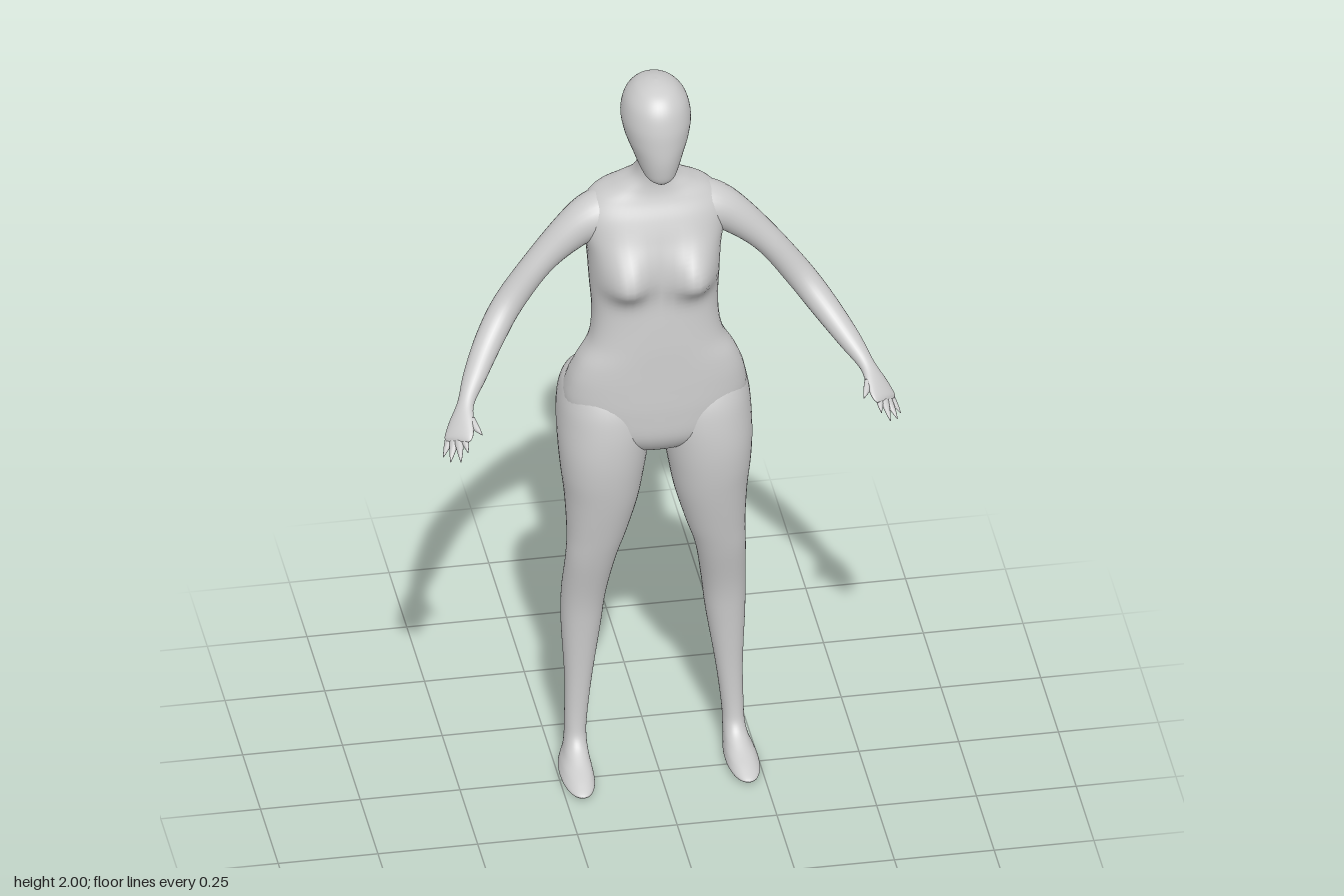
import * as THREE from 'three';

const SEG = 48;
const material = new THREE.MeshStandardMaterial({ color: 0xcccccc });

// Smoothly subdivide a table of sections with a Catmull-Rom rule
function refine(rows, steps) {
  const out = [];
  const last = rows.length - 1;
  for (let i = 0; i < last; i++) {
    const p0 = rows[Math.max(i - 1, 0)], p1 = rows[i], p2 = rows[i + 1], p3 = rows[Math.min(i + 2, last)];
    for (let k = 0; k < steps; k++) {
      const t = k / steps;
      out.push(p1.map((b, c) => {
        const a = p0[c], d = p2[c], e = p3[c];
        return b + 0.5 * t * (d - a + t * (2 * a - 5 * b + 4 * d - e + t * (3 * (b - d) + e - a)));
      }));
    }
  }
  out.push(rows[last]);
  return out;
}

// Skin closed rings of points, capping both ends; side = -1 mirrors in x
function skin(rings, side = 1) {
  const pos = [], index = [];
  const n = rings[0].length;
  const tri = (a, b, c) => (side > 0 ? index.push(a, b, c) : index.push(a, c, b));
  rings.forEach(ring => ring.forEach(p => pos.push(p.x * side, p.y, p.z)));
  for (let i = 0; i < rings.length - 1; i++) {
    for (let j = 0; j < n; j++) {
      const a = i * n + j, b = i * n + (j + 1) % n;
      tri(a, b, b + n);
      tri(a, b + n, a + n);
    }
  }
  [0, rings.length - 1].forEach(r => {
    const c = new THREE.Vector3();
    rings[r].forEach(p => c.addScaledVector(p, 1 / n));
    pos.push(c.x * side, c.y, c.z);
    const centre = pos.length / 3 - 1;
    for (let j = 0; j < n; j++) {
      const a = r * n + j, b = r * n + (j + 1) % n;
      if (r === 0) tri(centre, b, a); else tri(centre, a, b);
    }
  });
  const geo = new THREE.BufferGeometry();
  geo.setAttribute('position', new THREE.Float32BufferAttribute(pos, 3));
  geo.setIndex(index);
  geo.computeVertexNormals();
  return geo;
}

// Upright loft; rows are [y, xMin, xMax, zFront, zBack], bottom to top
function uprightLoft(rows, power, side, shape) {
  const rings = refine(rows, 6).map(([y, x0, x1, zf, zb]) => {
    const ring = [];
    for (let j = 0; j < SEG; j++) {
      const a = (j / SEG) * Math.PI * 2;
      const c = Math.cos(a), s = -Math.sin(a);
      const round = v => Math.sign(v) * Math.pow(Math.abs(v), 2 / power);
      const p = new THREE.Vector3((x0 + x1) / 2 + round(c) * (x1 - x0) / 2, y, (zf + zb) / 2 + round(s) * (zf - zb) / 2);
      if (shape) shape(p, s);
      ring.push(p);
    }
    return ring;
  });
  return skin(rings, side);
}

// Limb along a path; rows are [x, y, z, thickness, width] as half sizes
function limbLoft(rows, side, seg = 28) {
  const flat = new THREE.Vector3(0.53, 0.79, 0.28);
  const pts = refine(rows, 6);
  const at = i => new THREE.Vector3(...pts[Math.min(Math.max(i, 0), pts.length - 1)].slice(0, 3));
  const rings = pts.map((row, i) => {
    const dir = at(i + 1).sub(at(i - 1)).normalize();
    const up = flat.clone().addScaledVector(dir, -flat.dot(dir)).normalize();
    const across = dir.clone().cross(up);
    return Array.from({ length: seg }, (_, j) => {
      const a = (j / seg) * Math.PI * 2;
      return at(i).addScaledVector(up, Math.cos(a) * row[3]).addScaledVector(across, Math.sin(a) * row[4]);
    });
  });
  return skin(rings, side);
}

const sym = rows => rows.map(([y, w, zf, zb]) => [y, -w, w, zf, zb]);
const bump = (dx, dy) => Math.exp(-dx * dx - dy * dy);

// Bust, shoulder blades and spine groove pressed into the torso
function shapeTorso(p, s) {
  const x = Math.abs(p.x);
  if (s > 0) {
    const low = p.y < 1.45 ? 0.045 : 0.075;
    p.z += Math.min(1, s * 2) * 0.056 * bump((x - 0.09) / 0.055, (p.y - 1.45) / low);
  } else {
    const k = Math.min(1, -s * 2);
    p.z += k * 0.014 * bump(p.x / 0.035, (p.y - 1.42) / 0.2);
    p.z -= k * 0.012 * bump((x - 0.1) / 0.05, (p.y - 1.57) / 0.08);
  }
}

const torso = sym([
  [0.935, 0.02, -0.03, -0.09], [0.955, 0.1, 0.015, -0.13], [1.0, 0.19, 0.045, -0.18],
  [1.07, 0.228, 0.05, -0.205], [1.14, 0.222, 0.048, -0.175], [1.2, 0.2, 0.045, -0.15],
  [1.26, 0.167, 0.042, -0.15], [1.33, 0.157, 0.036, -0.172], [1.41, 0.161, 0.028, -0.19],
  [1.5, 0.167, 0.024, -0.2], [1.56, 0.178, 0.01, -0.2], [1.61, 0.178, -0.008, -0.195],
  [1.65, 0.15, -0.028, -0.185], [1.68, 0.098, -0.038, -0.165], [1.71, 0.056, -0.04, -0.14],
  [1.75, 0.041, -0.033, -0.117], [1.79, 0.045, -0.025, -0.115], [1.83, 0.05, -0.02, -0.12],
]);

const head = sym([
  [1.75, 0.016, 0.042, 0.008], [1.762, 0.036, 0.052, -0.035], [1.785, 0.05, 0.058, -0.085],
  [1.82, 0.064, 0.062, -0.126], [1.86, 0.079, 0.061, -0.154], [1.905, 0.086, 0.056, -0.165],
  [1.95, 0.077, 0.042, -0.154], [1.98, 0.055, 0.017, -0.128], [1.995, 0.028, -0.018, -0.09],
  [2.0, 0.002, -0.05, -0.056],
]);

const leg = [
  [0.0, 0.178, 0.238, 0.085, -0.11], [0.01, 0.166, 0.248, 0.104, -0.119], [0.028, 0.167, 0.242, 0.07, -0.121],
  [0.05, 0.17, 0.232, 0.012, -0.118], [0.08, 0.171, 0.226, -0.032, -0.115], [0.13, 0.169, 0.224, -0.046, -0.113],
  [0.25, 0.155, 0.223, -0.048, -0.121], [0.4, 0.132, 0.23, -0.04, -0.146], [0.5, 0.12, 0.23, -0.028, -0.145],
  [0.62, 0.1, 0.225, 0.002, -0.112], [0.7, 0.075, 0.223, 0.02, -0.122], [0.8, 0.046, 0.228, 0.04, -0.148],
  [0.88, 0.031, 0.237, 0.052, -0.165], [0.95, 0.018, 0.242, 0.056, -0.19], [1.02, 0.004, 0.242, 0.052, -0.225],
  [1.08, 0.004, 0.236, 0.04, -0.23], [1.13, 0.02, 0.22, 0.015, -0.2], [1.17, 0.06, 0.18, -0.03, -0.145],
];

const arm = [
  [0.08, 1.605, -0.105, 0.066, 0.068], [0.15, 1.588, -0.097, 0.06, 0.062], [0.205, 1.557, -0.09, 0.048, 0.05],
  [0.285, 1.48, -0.083, 0.036, 0.039], [0.365, 1.372, -0.074, 0.036, 0.038], [0.42, 1.3, -0.03, 0.034, 0.036],
  [0.47, 1.24, 0.04, 0.027, 0.03], [0.502, 1.2, 0.095, 0.018, 0.022], [0.52, 1.17, 0.135, 0.015, 0.035],
  [0.532, 1.148, 0.165, 0.01, 0.041], [0.537, 1.14, 0.175, 0.003, 0.034],
];

// Finger roots and tips, thumb first
const fingers = [
  [[0.5, 1.178, 0.145], [0.478, 1.164, 0.193]],
  [[0.52, 1.152, 0.165], [0.518, 1.132, 0.216]],
  [[0.532, 1.144, 0.165], [0.538, 1.114, 0.23]],
  [[0.542, 1.138, 0.16], [0.56, 1.102, 0.206]],
  [[0.55, 1.137, 0.145], [0.573, 1.1, 0.177]],
];

export function createModel() {
  const body = new THREE.Group();
  body.name = 'figure';
  const add = (name, geo) => {
    const mesh = new THREE.Mesh(geo, material);
    mesh.name = name;
    body.add(mesh);
  };

  add('torsoAndNeck', uprightLoft(torso, 2.4, 1, shapeTorso));
  add('head', uprightLoft(head, 2.1, 1));

  // Limbs on both sides
  for (const side of [1, -1]) {
    const label = side > 0 ? 'left' : 'right';
    add(label + 'Leg', uprightLoft(leg, 2.15, side));
    add(label + 'Arm', limbLoft(arm, side));
    fingers.forEach(([root, tip], i) => {
      const mid = root.map((v, c) => v * 0.45 + tip[c] * 0.55);
      const rows = [[...root, 0.008, 0.014], [...mid, 0.006, 0.008], [...tip, 0.001, 0.001]];
      add(label + (i ? 'Finger' + i : 'Thumb'), limbLoft(rows, side, 12));
    });
  }
  return body;
}
